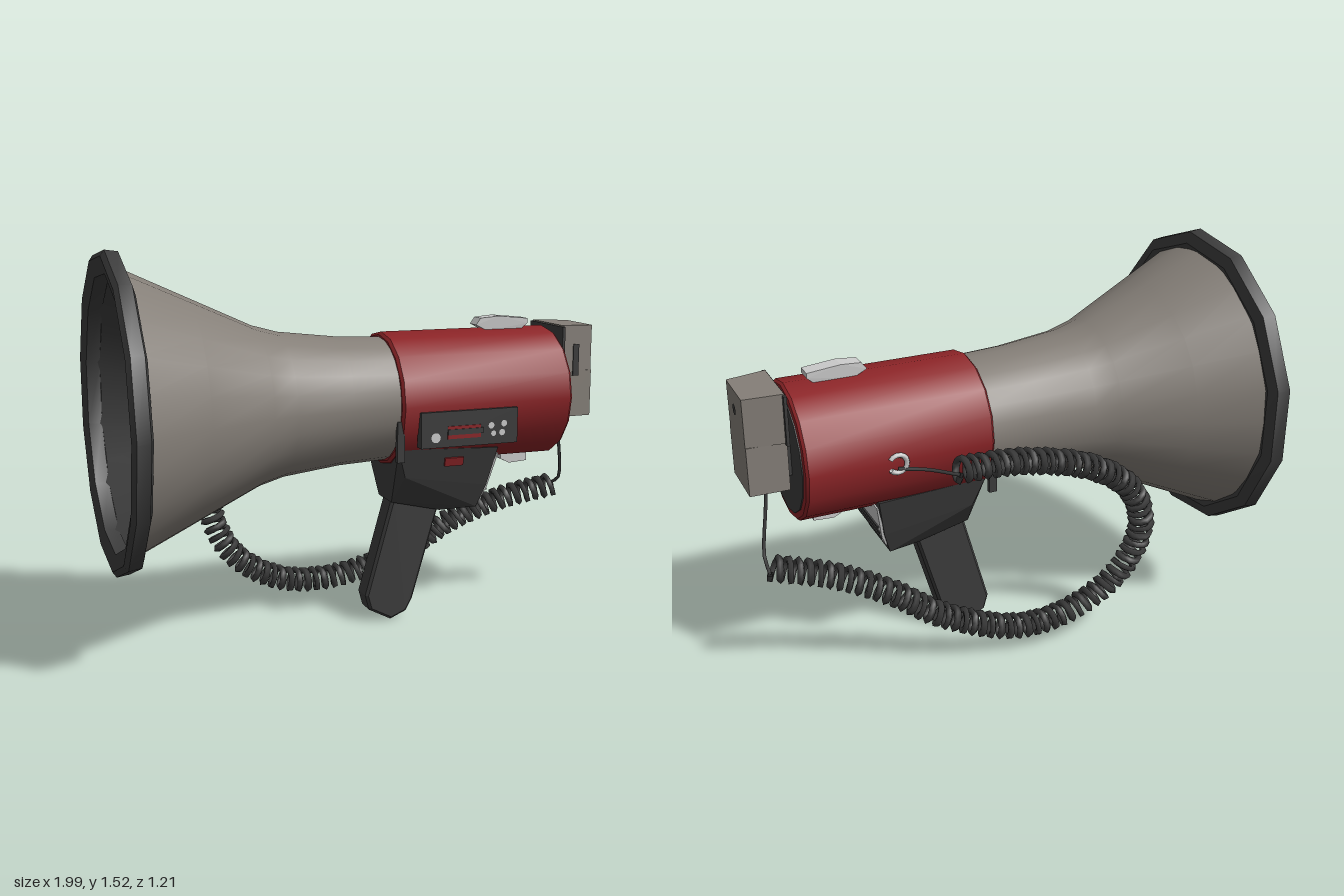
import * as THREE from 'three';
import { toCreasedNormals } from 'three/addons/utils/BufferGeometryUtils.js';
import { ConvexGeometry } from 'three/addons/geometries/ConvexGeometry.js';

const AXIS_Y = 0.915;

function paint(name, color, side = THREE.FrontSide) {
  const m = new THREE.MeshStandardMaterial({ color, side });
  m.name = name;
  return m;
}

export function createModel() {
  const model = new THREE.Group();
  model.name = 'megaphone';

  const hornGrey = paint('horn grey', 0x857f78, THREE.DoubleSide);
  const red = paint('red', 0x8c2427);
  const dark = paint('dark grey', 0x3c3c3c, THREE.DoubleSide);
  const light = paint('light grey', 0xcccccc, THREE.DoubleSide);

  function add(name, geometry, material, x = 0, y = 0, z = 0) {
    const mesh = new THREE.Mesh(geometry, material);
    mesh.name = name;
    mesh.position.set(x, y, z);
    model.add(mesh);
    return mesh;
  }
  // Turned part around the long axis; profile points are [radius, x]
  function turned(name, profile, sides, material, crease = 0.6) {
    const g = new THREE.LatheGeometry(profile.map(([r, x]) => new THREE.Vector2(r, x)), sides);
    g.rotateZ(-Math.PI / 2);
    return add(name, toCreasedNormals(g, crease), material, 0, AXIS_Y, 0);
  }
  function box(name, w, h, d, material, x, y, z) {
    return add(name, new THREE.BoxGeometry(w, h, d), material, x, y, z);
  }
  // Convex part mirrored in z; points are [x, y, half depth]
  function hull(name, points, material) {
    const all = points.flatMap(([x, y, z]) => [new THREE.Vector3(x, y, z), new THREE.Vector3(x, y, -z)]);
    return add(name, new ConvexGeometry(all), material);
  }

  // Horn: outer shell, dark lining and chunky rim
  turned('horn', [[0.55, -0.95], [0.43, -0.69], [0.31, -0.43], [0.282, -0.33], [0.255, -0.1], [0.245, 0.12]], 24, hornGrey, 1);
  turned('hornLining', [[0.54, -0.96], [0.42, -0.69], [0.3, -0.43], [0.27, -0.33], [0.235, -0.1], [0, -0.08]], 24, dark, 1);
  turned('hornRim', [[0.525, -0.985], [0.59, -1], [0.612, -0.985], [0.605, -0.935], [0.56, -0.92], [0.53, -0.93], [0.525, -0.985]], 13, dark);

  // Reflector inside the horn
  turned('innerHorn', [[0.085, -0.68], [0.12, -0.45], [0.22, -0.12]], 16, dark, 1);
  turned('hub', [[0, -0.78], [0.1, -0.78], [0.1, -0.66], [0, -0.66]], 10, red);
  turned('hubCap', [[0, -0.787], [0.08, -0.787], [0.08, -0.775]], 10, dark);
  for (let i = 0; i < 6; i++) {
    const a = (i / 6) * Math.PI * 2;
    const lug = box('hubLug', 0.13, 0.035, 0.035, red, -0.72, AXIS_Y + 0.105 * Math.cos(a), 0.105 * Math.sin(a));
    lug.rotation.x = a;
  }

  // Amplifier body
  turned('body', [[0, 0.09], [0.255, 0.09], [0.266, 0.1], [0.266, 0.81], [0.258, 0.82], [0.23, 0.822]], 16, red);
  turned('rearCap', [[0.235, 0.815], [0.235, 0.826], [0, 0.826]], 16, dark);

  // Strap mounts above, below and behind
  hull('topMount', [[0.5, 1.195, 0.03], [0.52, 1.222, 0.03], [0.6, 1.228, 0.033], [0.73, 1.215, 0.033], [0.73, 1.195, 0.033], [0.55, 1.17, 0.03], [0.7, 1.17, 0.03]], light);
  hull('bottomMount', [[0.62, 0.66, 0.035], [0.62, 0.635, 0.035], [0.66, 0.615, 0.035], [0.74, 0.62, 0.035], [0.74, 0.66, 0.035]], light);
  const hook = add('cordHook', new THREE.TorusGeometry(0.035, 0.01, 6, 12, Math.PI * 1.6), light, 0.48, 0.91, -0.272);
  hook.rotation.z = 0.6;

  // Control panel
  box('panel', 0.41, 0.14, 0.04, dark, 0.365, 0.825, 0.256);
  box('panelStripe', 0.14, 0.05, 0.006, red, 0.34, 0.812, 0.277);
  box('panelSlot', 0.15, 0.022, 0.008, dark, 0.345, 0.814, 0.279);
  for (const [x, y, r] of [[0.22, 0.795, 0.02], [0.455, 0.83, 0.013], [0.51, 0.835, 0.013], [0.465, 0.798, 0.011], [0.502, 0.8, 0.013]]) {
    add('panelButton', new THREE.CircleGeometry(r, 10), light, x, y, 0.279);
  }

  // Handle housing, trigger plate and grip
  hull('housing', [[0.1, 0.74, 0.195], [0.53, 0.72, 0.19], [0.14, 0.62, 0.165], [0.5, 0.56, 0.15], [0.12, 0.5, 0.07], [0.47, 0.465, 0.12], [0.33, 0.45, 0.07]], dark);
  box('housingCollar', 0.03, 0.16, 0.02, dark, 0.09, 0.78, 0.235);
  box('housingCollar', 0.03, 0.16, 0.02, dark, 0.09, 0.78, -0.235);
  hull('housingBackPlate', [[0.53, 0.695, 0.18], [0.537, 0.695, 0.18], [0.503, 0.55, 0.14], [0.508, 0.55, 0.14], [0.482, 0.5, 0.125], [0.488, 0.5, 0.125]], light);
  for (let i = 0; i < 3; i++) {
    box('backPlateGroove', 0.008, 0.008, 0.27, dark, 0.505 + i * 0.007, 0.54 + i * 0.025, 0);
  }
  const sidePlate = box('triggerLabel', 0.08, 0.035, 0.008, red, 0.34, 0.675, 0.185);
  sidePlate.rotation.x = 0.24;

  const grip = new THREE.Shape([[0.14, 0.5], [0.03, 0.11], [0.045, 0.055], [0.13, 0.01], [0.19, 0.035], [0.215, 0.08], [0.32, 0.44], [0.36, 0.56], [0.15, 0.6]]
    .map(([x, y]) => new THREE.Vector2(x, y)));
  add('grip', new THREE.ExtrudeGeometry(grip, { depth: 0.08, bevelThickness: 0.012, bevelSize: 0.01, bevelSegments: 1 }), dark, 0, 0, -0.04);

  // Hand microphone clipped to the back
  hull('microphoneTop', [[0.84, 1.0, 0.125], [0.84, 1.19, 0.125], [0.99, 1.0, 0.105], [0.99, 1.185, 0.105]], hornGrey);
  hull('microphoneBase', [[0.84, 0.81, 0.115], [0.84, 1.0, 0.115], [0.99, 0.81, 0.11], [0.99, 1.0, 0.11]], hornGrey);
  box('microphoneClip', 0.04, 0.24, 0.2, dark, 0.828, 0.98, 0);
  box('microphoneFrame', 0.012, 0.19, 0.28, dark, 0.842, 1.09, 0);
  box('talkButton', 0.026, 0.13, 0.012, dark, 0.912, 1.045, 0.115);
  const dot = add('microphoneDot', new THREE.CircleGeometry(0.022, 10), dark, 0.993, 1.11, 0);
  dot.rotation.y = Math.PI / 2;

  // Coiled cord: a helix wound around a smooth path
  const path = new THREE.CatmullRomCurve3([
    [0.28, 0.87, -0.33], [0, 0.85, -0.33], [-0.3, 0.76, -0.33], [-0.47, 0.63, -0.33], [-0.53, 0.45, -0.32], [-0.45, 0.25, -0.3],
    [-0.25, 0.12, -0.29], [0, 0.1, -0.29], [0.3, 0.2, -0.24], [0.5, 0.33, -0.19], [0.7, 0.42, -0.13], [0.93, 0.48, -0.07],
  ].map((p) => new THREE.Vector3(...p)));
  const turns = 72, steps = turns * 6;
  const frames = path.computeFrenetFrames(steps);
  const coil = [];
  for (let i = 0; i <= steps; i++) {
    const a = (i / 6) * Math.PI * 2;
    coil.push(path.getPointAt(i / steps)
      .addScaledVector(frames.normals[i], 0.042 * Math.cos(a))
      .addScaledVector(frames.binormals[i], 0.042 * Math.sin(a)));
  }
  const coilCurve = new THREE.CatmullRomCurve3(coil);
  coilCurve.arcLengthDivisions = steps * 4;
  add('coiledCord', new THREE.TubeGeometry(coilCurve, steps * 2, 0.014, 4), dark);

  // Straight cord ends
  const ends = [
    [[0.48, 0.89, -0.27], [0.38, 0.88, -0.3], coil[0].toArray()],
    [coil[steps].toArray(), [0.94, 0.52, -0.04], [0.91, 0.7, 0], [0.9, 0.82, 0]],
  ];
  for (const pts of ends) {
    const c = new THREE.CatmullRomCurve3(pts.map((p) => new THREE.Vector3(...p)));
    add('cordEnd', new THREE.TubeGeometry(c, 10, 0.007, 5), dark);
  }

  return model;
}
